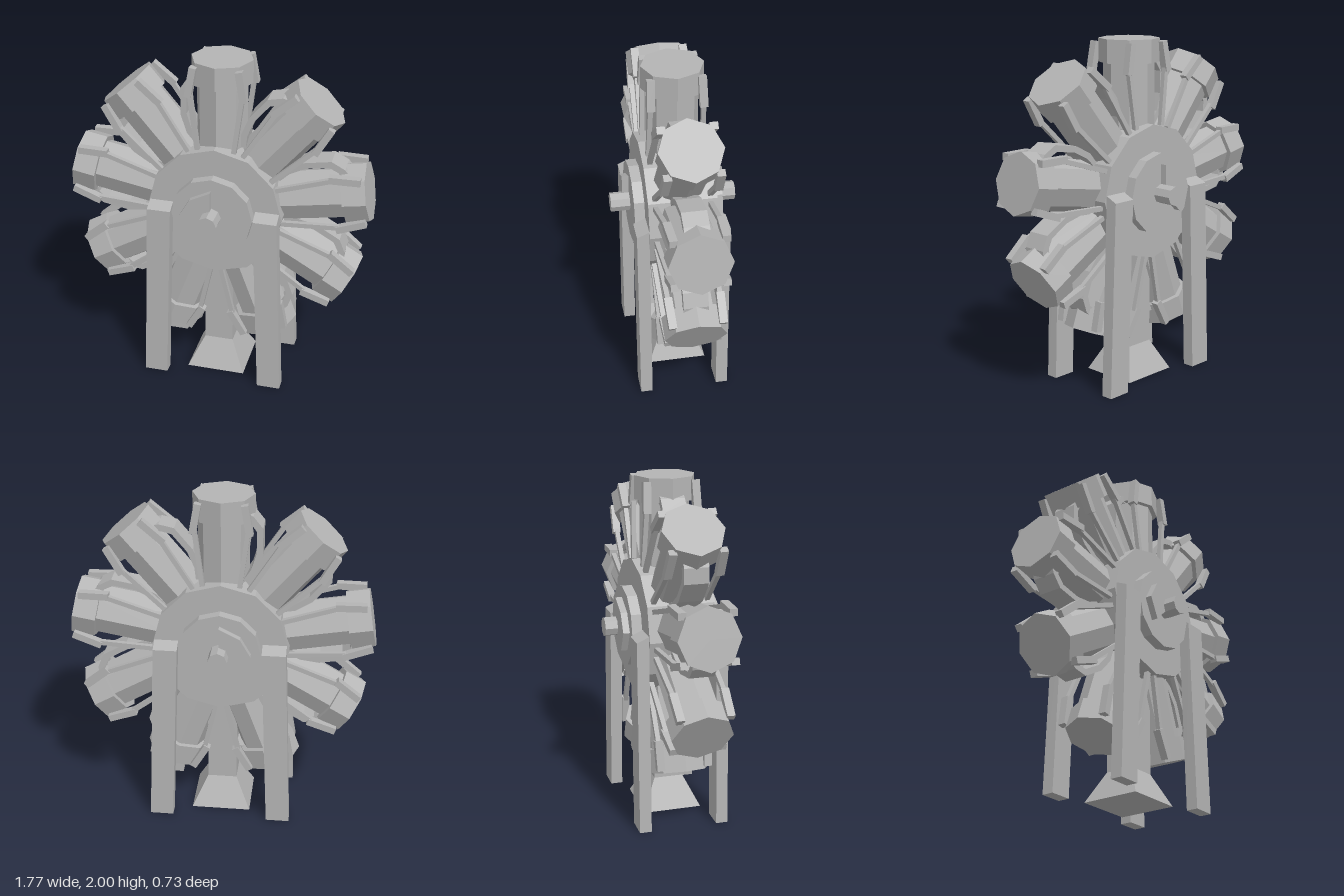
import * as THREE from 'three';

const metal = new THREE.MeshStandardMaterial({ color: 0xb4b4b4, flatShading: true });
metal.name = 'brushedGrey';

const HUB_Y = 1.13;

function add(parent, name, geometry) {
  const mesh = new THREE.Mesh(geometry, metal);
  mesh.name = name;
  parent.add(mesh);
  return mesh;
}

// Disc lying across the z axis, one corner pointing up
function disc(radius, depth, sides) {
  return new THREE.CylinderGeometry(radius, radius, depth, sides).rotateX(Math.PI / 2);
}

// Bar with a rectangular section running between two points
function bar(parent, name, a, b, width, depth) {
  const from = new THREE.Vector3(...a), to = new THREE.Vector3(...b);
  const dir = to.clone().sub(from);
  const mesh = add(parent, name, new THREE.BoxGeometry(width, dir.length(), depth));
  mesh.position.copy(from).add(to).multiplyScalar(0.5);
  mesh.quaternion.setFromUnitVectors(new THREE.Vector3(0, 1, 0), dir.normalize());
}

// Extruded outline centred on z = 0
function plate(points, depth) {
  const shape = new THREE.Shape(points.map(([x, y]) => new THREE.Vector2(x, y)));
  return new THREE.ExtrudeGeometry(shape, { depth, bevelEnabled: false }).translate(0, 0, -depth / 2);
}

// One cylinder, pointing up from the hub
function createCylinder() {
  const g = new THREE.Group();
  g.name = 'engineCylinder';
  add(g, 'barrel', new THREE.CylinderGeometry(0.147, 0.147, 0.46, 8)).position.y = 0.53;
  add(g, 'cylinderHead', new THREE.CylinderGeometry(0.176, 0.176, 0.135, 8)).position.y = 0.8025;

  // Pushrods and rocker boxes at the four corners
  for (const sx of [-1, 1]) {
    for (const sz of [-1, 1]) {
      bar(g, 'pushrod', [sx * 0.105, 0.37, sz * 0.155], [sx * 0.148, 0.7, sz * 0.145], 0.027, 0.027);
      bar(g, 'rockerBox', [sx * 0.158, 0.68, sz * 0.146], [sx * 0.128, 0.852, sz * 0.14], 0.04, 0.045);
    }
  }

  // Arched intake pipe on one side, open underneath
  add(g, 'intakePipe', plate([
    [-0.13, 0.78], [-0.17, 0.76], [-0.225, 0.69], [-0.225, 0.53], [-0.19, 0.42], [-0.14, 0.36],
    [-0.12, 0.38], [-0.16, 0.44], [-0.19, 0.54], [-0.19, 0.67], [-0.155, 0.72], [-0.13, 0.73],
  ], 0.14));
  return g;
}

// Leaning leg with a sloped top
function legGeometry() {
  const geo = new THREE.BoxGeometry(0.138, 1, 0.07);
  const p = geo.attributes.position;
  for (let i = 0; i < p.count; i++) {
    const top = p.getY(i) > 0;
    p.setX(i, p.getX(i) + (top ? 0.31 : 0.353));
    p.setY(i, top ? (p.getZ(i) > 0 ? 1.135 : 1.167) : 0);
  }
  return geo.translate(0, 0, 0.231);
}

export function createModel() {
  const model = new THREE.Group();
  model.name = 'radialEngine';

  const engine = new THREE.Group();
  engine.name = 'engine';
  engine.position.y = HUB_Y;
  model.add(engine);

  // Hub stack
  add(engine, 'crankcase', disc(0.392, 0.39, 12));
  add(engine, 'hubCover', disc(0.236, 0.508, 12));
  add(engine, 'shaft', disc(0.056, 0.73, 8));
  add(engine, 'counterweight', plate([
    [0, 0.17], [-0.12, 0.11], [-0.18, 0.005], [-0.12, -0.115], [0, 0],
  ], 0.585));

  // Nine cylinders around the hub
  for (let i = 0; i < 9; i++) {
    const cylinder = createCylinder();
    cylinder.rotation.z = (i * 2 * Math.PI) / 9;
    engine.add(cylinder);
  }

  // Four legs, front and back
  for (const turn of [0, Math.PI]) {
    for (const side of [-1, 1]) {
      const leg = new THREE.Group();
      leg.name = 'leg';
      const geo = legGeometry();
      if (side < 0) {
        // Mirror across x and restore the face order
        geo.scale(-1, 1, 1);
        const ix = geo.index.array;
        for (let i = 0; i < ix.length; i += 3) [ix[i], ix[i + 1]] = [ix[i + 1], ix[i]];
      }
      add(leg, 'legBeam', geo);
      leg.rotation.y = turn;
      model.add(leg);
    }
  }

  // Centre pedestal: flared foot and square post
  const r = Math.SQRT2;
  add(model, 'pedestalFoot',
    new THREE.CylinderGeometry(0.087 * r, 0.175 * r, 0.18, 4).rotateY(Math.PI / 4)).position.y = 0.09;
  add(model, 'pedestalPost', new THREE.BoxGeometry(0.174, 0.64, 0.174)).position.y = 0.5;

  return model;
}
